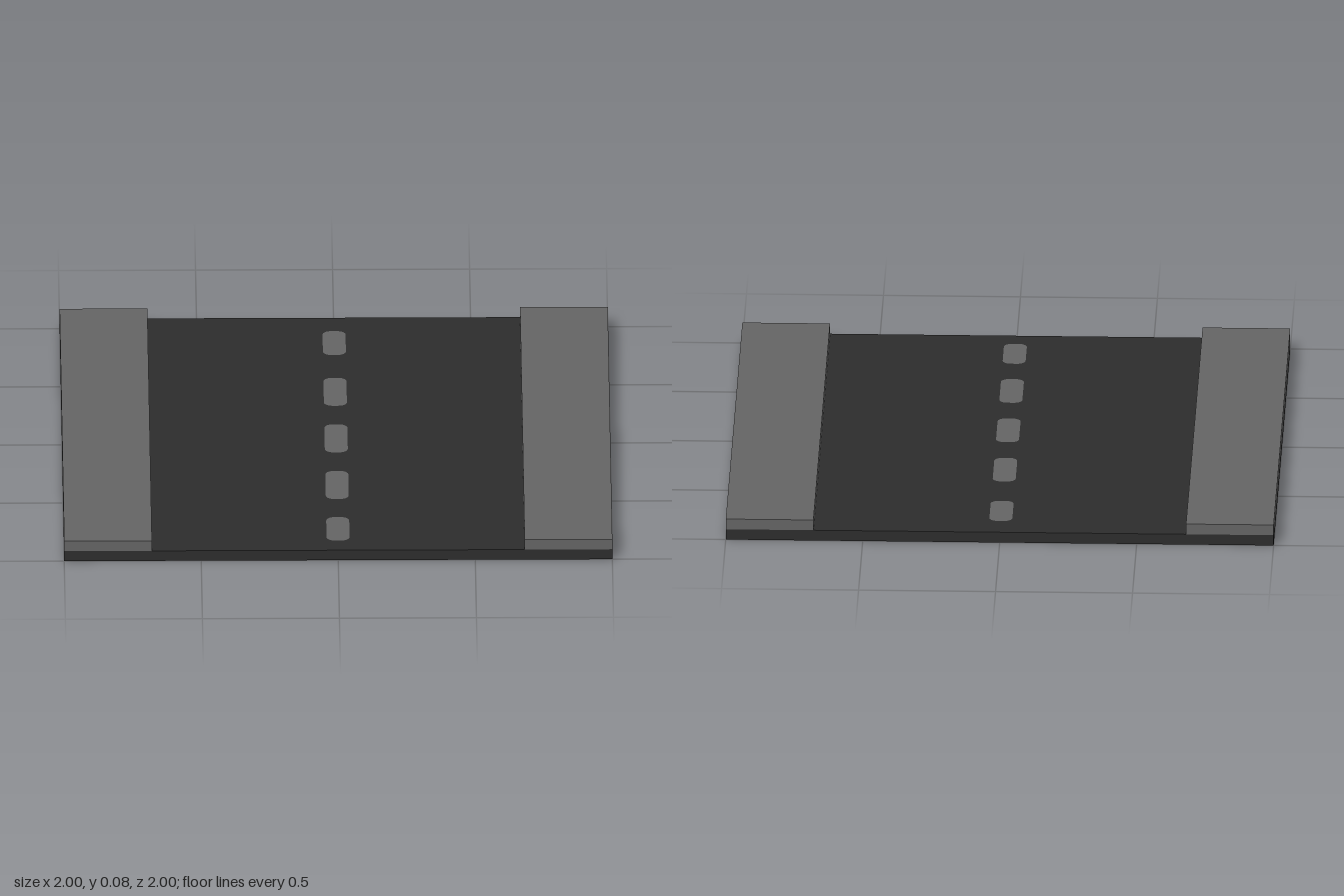
import * as THREE from 'three';

const THICK = 0.04;

// Rounded dash outline; shape y is -z once laid flat
function dashOutline(Path, z0, z1) {
  const w = 0.042, r = 0.03, a = -z1, b = -z0;
  const p = new Path();
  p.moveTo(-w + r, a);
  p.lineTo(w - r, a);
  p.absarc(w - r, a + r, r, -Math.PI / 2, 0, false);
  p.absarc(w - r, b - r, r, 0, Math.PI / 2, false);
  p.absarc(-w + r, b - r, r, Math.PI / 2, Math.PI, false);
  p.absarc(-w + r, a + r, r, Math.PI, Math.PI * 1.5, false);
  return p;
}

// Extrude a plan outline upward from the ground
function slab(shape) {
  const g = new THREE.ExtrudeGeometry(shape, { depth: THICK, bevelEnabled: false, curveSegments: 4 });
  return g.rotateX(-Math.PI / 2);
}

export function createModel() {
  const asphalt = new THREE.MeshStandardMaterial({ color: 0x2d2d2d });
  asphalt.name = 'asphalt';
  const paleGrey = new THREE.MeshStandardMaterial({ color: 0x656565 });
  paleGrey.name = 'pale grey';

  const model = new THREE.Group();
  model.name = 'roadSection';
  const add = (name, geometry, material) => {
    const mesh = new THREE.Mesh(geometry, material);
    mesh.name = name;
    model.add(mesh);
    return mesh;
  };

  // Road slab, with openings for the inlaid lane dashes
  const road = new THREE.Shape();
  road.moveTo(-1, -1).lineTo(1, -1).lineTo(1, 1).lineTo(-1, 1).closePath();
  const dashes = [[-0.885, -0.68], [-0.483, -0.243], [-0.083, 0.158], [0.318, 0.559], [0.715, 0.917]];
  for (const [z0, z1] of dashes) road.holes.push(dashOutline(THREE.Path, z0, z1));
  add('road', slab(road), asphalt);

  // Lane dashes run through the full slab thickness
  dashes.forEach(([z0, z1], i) => {
    add(`laneDash${i + 1}`, slab(dashOutline(THREE.Shape, z0, z1)), paleGrey);
  });

  // Raised pavements along both sides
  for (const side of [-1, 1]) {
    const pavement = add(side > 0 ? 'leftPavement' : 'rightPavement',
      new THREE.BoxGeometry(0.32, 0.04, 2), paleGrey);
    pavement.position.set(side * 0.84, THICK + 0.02, 0);
  }
  return model;
}
